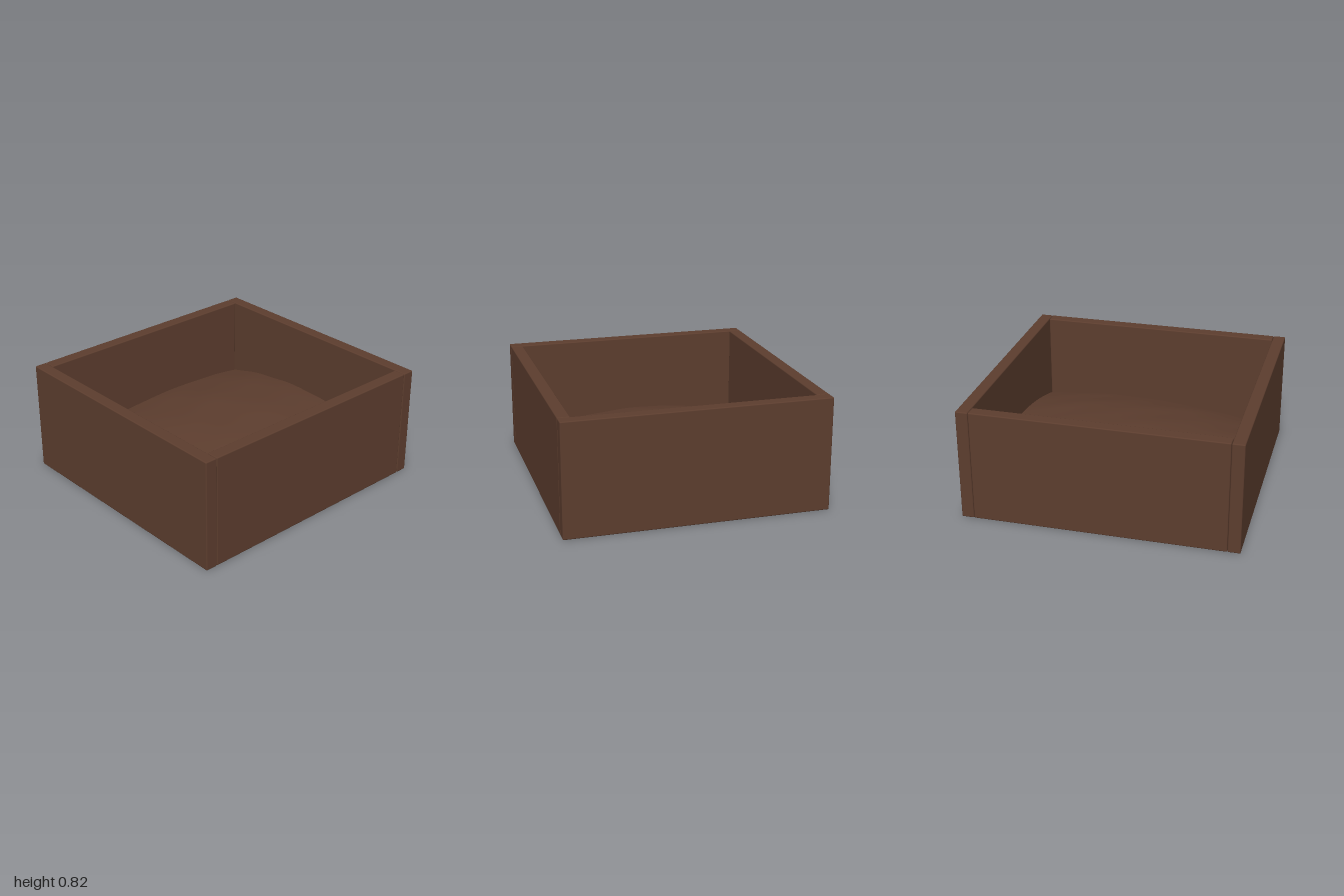
import * as THREE from 'three';
import { RoundedBoxGeometry } from 'three/addons/geometries/RoundedBoxGeometry.js';

const W = 0.95, D = 1, H = 0.825, T = 0.09; // half width, half depth, height, board thickness

export function createModel() {
  const group = new THREE.Group();
  group.name = 'planterBox';
  const wood = new THREE.MeshStandardMaterial({ name: 'brown wood', color: 0x5c3d2e });
  const earth = new THREE.MeshStandardMaterial({ name: 'brown soil', color: 0x5c3d2e });

  const board = (name, w, h, d, x, y, z) => {
    const mesh = new THREE.Mesh(new RoundedBoxGeometry(w, h, d, 2, 0.008), wood);
    mesh.name = name;
    mesh.position.set(x, y, z);
    group.add(mesh);
  };

  // Front and back boards cover the ends of the side boards
  for (const s of [1, -1]) {
    board(s > 0 ? 'frontBoard' : 'backBoard', 2 * W, H, T, 0, H / 2, s * (D - T / 2));
    board(s > 0 ? 'leftBoard' : 'rightBoard', T, H, 2 * (D - T) - 0.004, s * (W - T / 2), H / 2, 0);
  }
  board('floor', 2 * (W - T), 0.05, 2 * (D - T), 0, 0.031, 0);

  // Soil: a gently tilted mound with a slightly uneven surface
  const hx = W - T, hz = D - T;
  const soil = new THREE.PlaneGeometry(2 * hx, 2 * hz, 40, 40).rotateX(-Math.PI / 2);
  const p = soil.attributes.position;
  for (let i = 0; i < p.count; i++) {
    const x = p.getX(i), z = p.getZ(i), u = x / hx, v = z / hz;
    const mound = 0.36 - 0.025 * u - 0.045 * v - 0.13 * u * u - 0.08 * v * v;
    const ripple = 0.003 * Math.sin(9 * x + 4 * z) * Math.cos(8 * z - 5 * x) + 0.0015 * Math.sin(17 * x - 13 * z);
    p.setY(i, mound + ripple);
  }
  soil.computeVertexNormals();
  const soilMesh = new THREE.Mesh(soil, earth);
  soilMesh.name = 'soil';
  group.add(soilMesh);

  return group;
}
